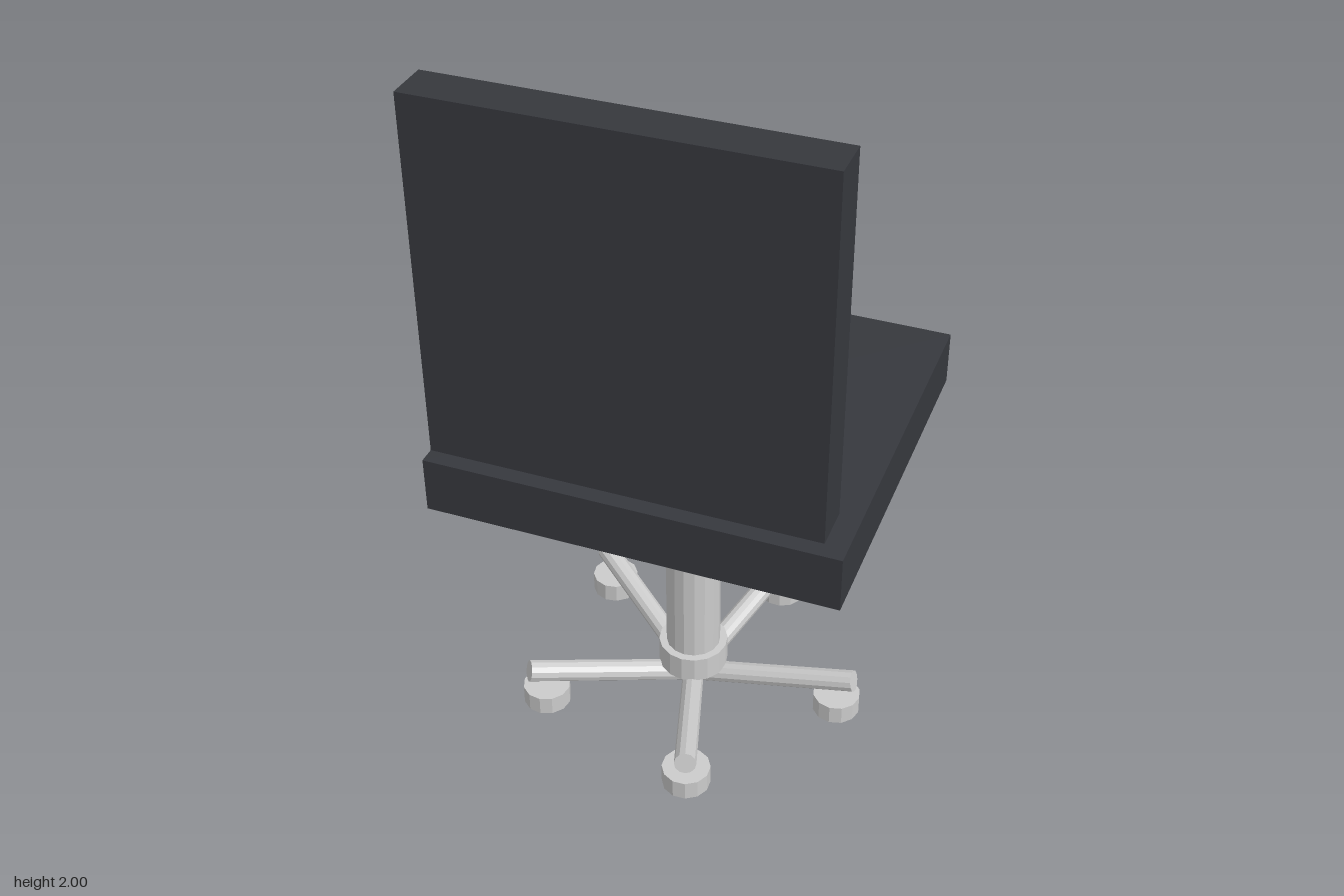
import * as THREE from 'three';

export function createModel() {
  const model = new THREE.Group();
  model.name = 'swivelChair';
  const metal = new THREE.MeshStandardMaterial({ color: 0xcccccc, flatShading: true });
  const padding = new THREE.MeshStandardMaterial({ color: 0x36383d });

  const add = (parent, name, geometry, material, x, y, z) => {
    const mesh = new THREE.Mesh(geometry, material);
    mesh.name = name;
    mesh.position.set(x, y, z);
    parent.add(mesh);
    return mesh;
  };

  // Cushions
  add(model, 'seat', new THREE.BoxGeometry(1.09, 0.153, 1.01), padding, 0, 0.897, -0.011);
  add(model, 'backrest', new THREE.BoxGeometry(1.01, 0.968, 0.116), padding, 0, 1.516, 0.458);

  // Pedestal, set slightly towards the backrest
  const base = new THREE.Group();
  base.name = 'base';
  base.position.z = 0.033;
  model.add(base);
  add(base, 'column', new THREE.CylinderGeometry(0.076, 0.076, 0.72, 16), metal, 0, 0.46, 0);
  add(base, 'hub', new THREE.CylinderGeometry(0.097, 0.097, 0.077, 16), metal, 0, 0.116, 0);

  // Five legs rising outwards, each with a caster under its tip
  const legLength = 0.489, tilt = 0.238, legRadius = 0.03;
  const legGeometry = new THREE.CylinderGeometry(legRadius, legRadius, legLength, 12);
  legGeometry.translate(0, legLength / 2, 0).rotateZ(tilt - Math.PI / 2);
  const casterGeometry = new THREE.CylinderGeometry(0.066, 0.066, 0.055, 12);
  for (let i = 0; i < 5; i++) {
    const spoke = new THREE.Group();
    spoke.name = 'spoke' + (i + 1);
    spoke.rotation.y = (i * Math.PI * 2) / 5;
    base.add(spoke);
    add(spoke, 'leg', legGeometry, metal, 0, legRadius * Math.cos(tilt), 0);
    add(spoke, 'caster', casterGeometry, metal, 0.428, 0.058, 0);
  }
  return model;
}
